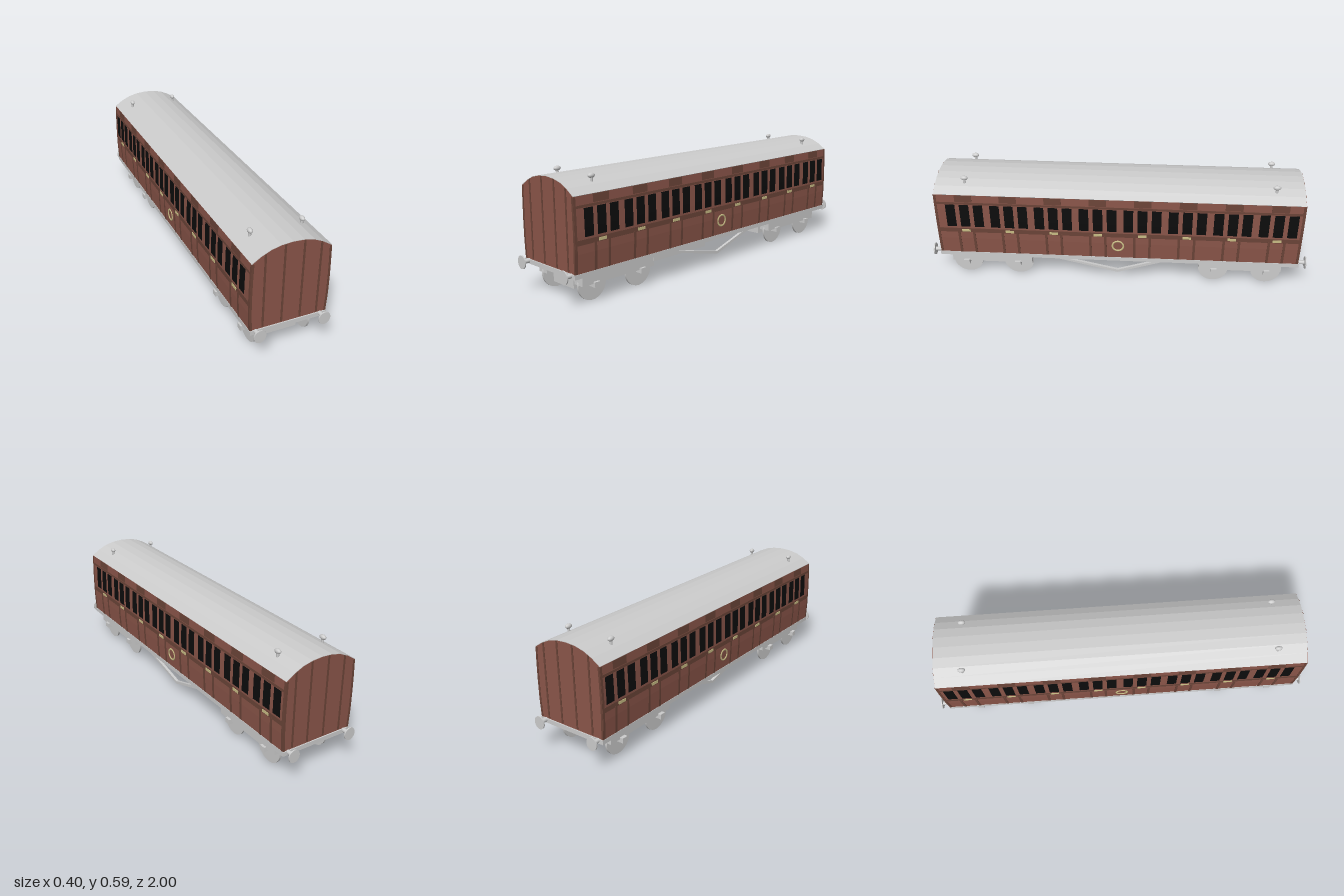
import * as THREE from 'three';

const mat = (color) => new THREE.MeshStandardMaterial({ color });
const GREY = mat(0xcccccc), RED = mat(0x8a5549), DARK = mat(0x6b4438),
  BLACK = mat(0x0c0c0c), CREAM = mat(0xc9bd85);
const LEN = 1.908; // body length

// Half-width of the gently bulging body side, by height
const SIDE = [[0.157, 0.193], [0.25, 0.198], [0.35, 0.1985], [0.43, 0.197], [0.512, 0.194]];
const ARC = [[0.194, 0.512], [0.15, 0.541], [0.105, 0.562], [0.055, 0.574], [0, 0.578]];

function lookup(table, key, value, k) {
  for (let i = 1; i < table.length; i++) {
    const a = table[i - 1], b = table[i];
    const t = (k - a[key]) / (b[key] - a[key]);
    if (t <= 1.0001 || i === table.length - 1) return a[value] + t * (b[value] - a[value]);
  }
}
const sideX = (y) => lookup(SIDE, 0, 1, y);
const roofY = (x) => lookup(ARC, 0, 1, Math.abs(x));

export function createModel() {
  const root = new THREE.Group();

  const add = (name, geo, material, x = 0, y = 0, z = 0, parent = root) => {
    const m = new THREE.Mesh(geo, material);
    m.name = name;
    m.position.set(x, y, z);
    parent.add(m);
    return m;
  };
  const box = (name, x0, x1, y0, y1, z0, z1, material = GREY, parent = root) =>
    add(name, new THREE.BoxGeometry(x1 - x0, y1 - y0, z1 - z0), material,
      (x0 + x1) / 2, (y0 + y1) / 2, (z0 + z1) / 2, parent);
  const extrude = (pts, depth) => new THREE.ExtrudeGeometry(
    new THREE.Shape(pts.map(([x, y]) => new THREE.Vector2(x, y))), { depth, bevelEnabled: false });

  // Thin panel hugging a body side, standing proud by t
  const sidePanel = (name, s, y0, y1, zc, width, t, material, parent) => {
    const n = Math.max(1, Math.ceil((y1 - y0) / 0.05)), outer = [], inner = [];
    for (let i = 0; i <= n; i++) {
      const y = y0 + (y1 - y0) * i / n, x = sideX(y);
      outer.push([s * (x + t), y]);
      inner.unshift([s * (x - 0.003), y]);
    }
    add(name, extrude([...outer, ...inner], width), material, 0, 0, zc - width / 2, parent);
  };

  // Body shell with arched ends
  const right = SIDE.map(([y, x]) => [x, y]);
  const half = [...right, ...ARC.slice(1)];
  const left = half.slice(0, -1).reverse().map(([x, y]) => [-x, y]);
  add('body', extrude([...half, ...left], LEN), RED, 0, 0, -LEN / 2);

  // Thin curved roof skin
  const arch = [...ARC, ...ARC.slice(0, -1).reverse().map(([x, y]) => [-x, y])];
  const skin = [...arch.map(([x, y]) => [x * 1.01, y + 0.002]),
    ...arch.slice().reverse().map(([x, y]) => [x * 0.98, y - 0.004])];
  add('roof', extrude(skin, LEN - 0.002), GREY, 0, 0, -LEN / 2 + 0.001);

  // Sides: mouldings, doors, windows, handle plates and ring emblem
  for (const s of [1, -1]) {
    const side = new THREE.Group();
    side.name = s > 0 ? 'leftSide' : 'rightSide';
    root.add(side);
    sidePanel('upperMoulding', s, 0.458, 0.47, 0, LEN - 0.004, 0.0015, DARK, side);
    sidePanel('waistMoulding', s, 0.29, 0.314, 0, LEN - 0.004, 0.0015, DARK, side);
    for (let i = 0; i < 8; i++) {
      const z = 0.801 - i * 0.2328;
      for (const k of [-1, 0, 1])
        sidePanel('window', s, 0.324, 0.455, z + k * 0.073, 0.05, 0.001, BLACK, side);
      for (const k of [-1, 1])
        sidePanel('doorPost', s, 0.16, 0.295, z + k * 0.04, 0.013, 0.0025, DARK, side);
      sidePanel('doorHeader', s, 0.473, 0.511, z, 0.09, 0.0015, DARK, side);
      sidePanel('handlePlate', s, 0.294, 0.308, z, 0.045, 0.004, CREAM, side);
    }
    for (const e of [-1, 1])
      sidePanel('cornerPost', s, 0.16, 0.51, e * (LEN / 2 - 0.006), 0.012, 0.0015, DARK, side);
    const ring = add('ringEmblem', new THREE.TorusGeometry(0.029, 0.005, 8, 28), CREAM,
      s * 0.1985, 0.235, -0.003, side);
    ring.rotation.y = Math.PI / 2;
    ring.scale.z = 0.6;
  }

  // End battens, cut to the roof arch
  for (const e of [-1, 1]) {
    for (const x of [-0.19, -0.131, -0.037, 0.057, 0.143, 0.19]) {
      const a = x - 0.005, b = x + 0.005;
      const edge = Math.abs(x) > 0.18;
      const pts = edge
        ? [...right.map(([w, y]) => [Math.sign(x) * w, y]),
          ...right.slice().reverse().map(([w, y]) => [Math.sign(x) * (w - 0.01), y])]
        : [[a, 0.165], [b, 0.165], [b, roofY(b)], [a, roofY(a)]];
      add('endBatten', extrude(pts, 0.004), DARK, 0, 0, e * LEN / 2 - 0.002);
    }
  }

  // Floor frame
  box('floorFrame', -0.195, 0.195, 0.137, 0.159, -0.96, 0.96);

  // Buffers
  for (const e of [-1, 1]) for (const s of [-1, 1]) {
    const shaft = add('bufferShaft', new THREE.CylinderGeometry(0.011, 0.011, 0.05, 16), GREY,
      s * 0.164, 0.151, e * 0.972);
    shaft.rotation.x = Math.PI / 2;
    const head = add('bufferHead', new THREE.CylinderGeometry(0.03, 0.03, 0.006, 28), GREY,
      s * 0.164, 0.151, e * 0.997);
    head.rotation.x = Math.PI / 2;
    head.scale.z = 1.1;
  }

  // Roof ventilators
  for (const z of [0.8, -0.807]) for (const x of [-0.13, 0.129]) {
    add('ventStem', new THREE.CylinderGeometry(0.007, 0.007, 0.045, 12), GREY, x, 0.557, z);
    add('ventCap', new THREE.SphereGeometry(0.012, 16, 12), GREY, x, 0.579, z).scale.z = 1.6;
  }

  // Bogies
  for (const zc of [0.686, -0.657]) {
    const bogie = new THREE.Group();
    bogie.name = 'bogie';
    bogie.position.z = zc;
    root.add(bogie);
    box('bogieBlock', -0.073, 0.083, 0.052, 0.118, -0.2, 0.2, GREY, bogie);
    box('bolster', -0.073, 0.083, 0.117, 0.138, -0.19, 0.19, GREY, bogie);
    box('sideFrame', -0.163, -0.102, 0.087, 0.138, -0.218, 0.218, GREY, bogie);
    box('sideFrame', 0.113, 0.174, 0.087, 0.138, -0.218, 0.218, GREY, bogie);
    for (const z of [-0.141, 0.141]) {
      const axle = add('axle', new THREE.CylinderGeometry(0.009, 0.009, 0.3, 12), GREY,
        0.003, 0.087, z, bogie);
      axle.rotation.z = Math.PI / 2;
      for (const x of [-0.134, 0.14]) {
        const wheel = add('wheel', new THREE.CylinderGeometry(0.08, 0.08, 0.011, 32), GREY,
          x, 0.08, z, bogie);
        wheel.rotation.z = Math.PI / 2;
      }
      box('axleBox', -0.182, -0.132, 0.071, 0.097, z - 0.016, z + 0.016, GREY, bogie);
      box('axleBox', 0.138, 0.187, 0.071, 0.097, z - 0.016, z + 0.016, GREY, bogie);
    }
  }

  // Equipment box under the floor
  box('equipmentBox', -0.073, 0.083, 0.07, 0.138, 0.003, 0.383);

  // V-shaped truss rods
  for (const x of [-0.118, 0.164])
    add('trussRod', extrude([[-0.41, 0.14], [-0.36, 0.14], [0, 0.06], [0.25, 0.14], [0.3, 0.14], [0, 0.045]], 0.015),
      GREY, x - 0.0075, 0, 0).rotation.y = Math.PI / 2;

  return root;
}
